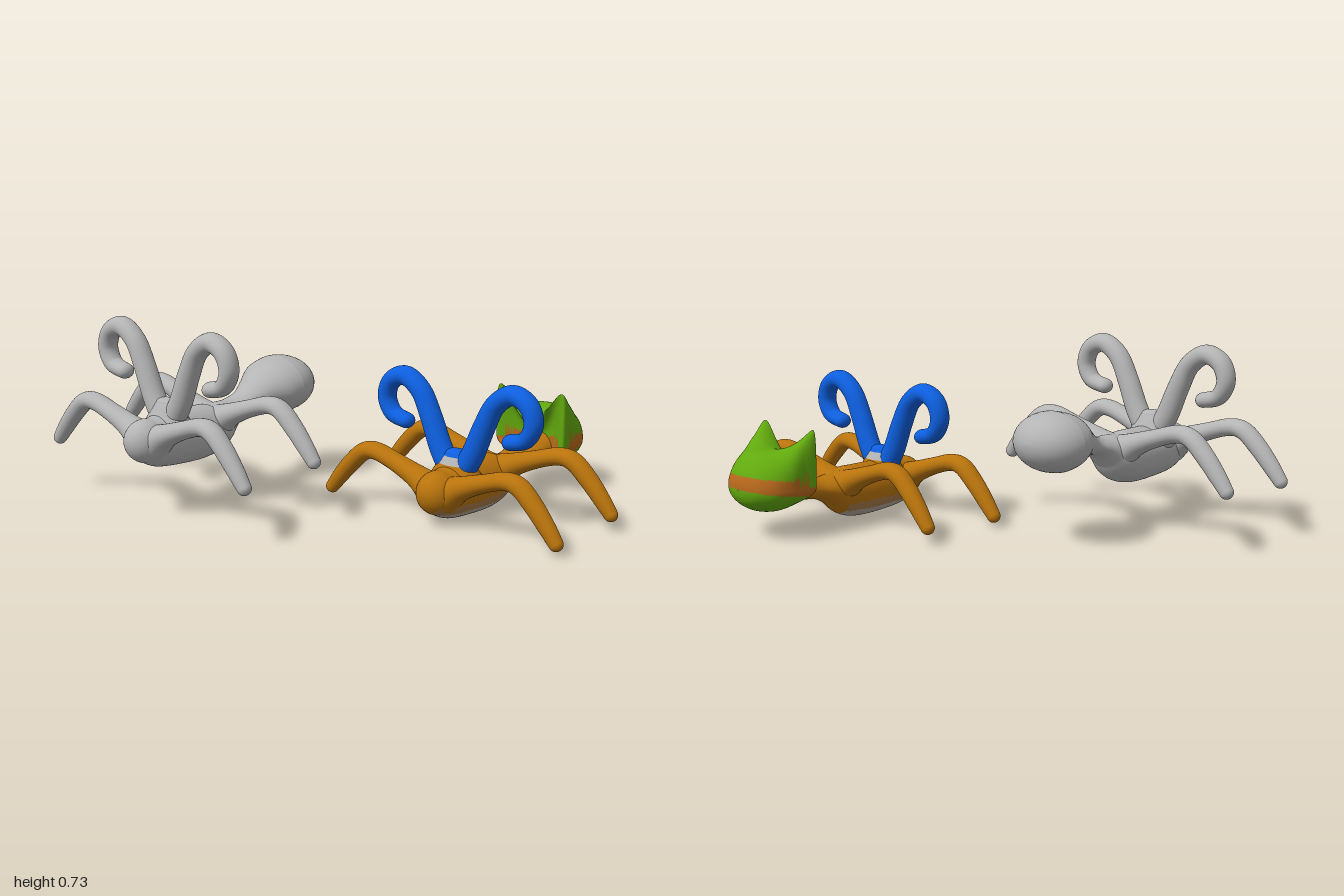
import * as THREE from 'three';

const mat = (name, color) => Object.assign(new THREE.MeshStandardMaterial({ color }), { name });
const V = (x, y, z) => new THREE.Vector3(x, y, z);

// Smooth interpolation through rows of numbers (Catmull-Rom)
function spline(rows, steps) {
  const out = [], last = rows.length - 1;
  for (let k = 0; k <= steps; k++) {
    const f = (k / steps) * last, i = Math.min(Math.floor(f), last - 1), t = f - i;
    const [a, b, c, d] = [i - 1, i, i + 1, i + 2].map(j => rows[Math.max(0, Math.min(last, j))]);
    out.push(b.map((_, n) => 0.5 * (2 * b[n] + (c[n] - a[n]) * t
      + (2 * a[n] - 5 * b[n] + 4 * c[n] - d[n]) * t * t
      + (3 * b[n] - a[n] - 3 * c[n] + d[n]) * t * t * t)));
  }
  return out;
}

// Skin a list of closed rings
function skin(rings) {
  const n = rings[0].length, index = [];
  for (let i = 0; i < rings.length - 1; i++) {
    for (let j = 0; j < n; j++) {
      const a = i * n + j, b = i * n + (j + 1) % n;
      index.push(a, a + n, b, b, a + n, b + n);
    }
  }
  const g = new THREE.BufferGeometry().setFromPoints(rings.flat());
  g.setIndex(index);
  g.computeVertexNormals();
  return g;
}

// Sweep an ellipse along rows of [x, y, z, radius along side, other radius], with rounded ends
function sweep(rows, side, { steps = 48, sides = 32, capStart, capEnd } = {}) {
  const s = spline(rows, steps), rings = [];
  const at = i => V(...s[i].slice(0, 3));
  const ring = (i, push, scale) => {
    const t = at(Math.min(i + 1, steps)).sub(at(Math.max(i - 1, 0))).normalize();
    const n = side.clone().cross(t).normalize(), u = t.clone().cross(n);
    const c = at(i).addScaledVector(t, push), pts = [];
    for (let j = 0; j < sides; j++) {
      const a = (j / sides) * Math.PI * 2;
      pts.push(c.clone().addScaledVector(u, s[i][3] * scale * Math.cos(a))
        .addScaledVector(n, s[i][4] * scale * Math.sin(a)));
    }
    rings.push(pts);
  };
  const CAP = 10, q = Math.PI / 2 / CAP;
  const len0 = capStart ?? s[0][4], len1 = capEnd ?? s[steps][4];
  for (let k = CAP; k > 0; k--) ring(0, -len0 * Math.sin(k * q), Math.cos(k * q));
  for (let i = 0; i <= steps; i++) ring(i, 0, 1);
  for (let k = 1; k <= CAP; k++) ring(steps, len1 * Math.sin(k * q), Math.cos(k * q));
  return skin(rings);
}

// Sort faces into colour groups by the centre of each face
function paint(g, materials, pick) {
  const p = g.attributes.position, idx = g.index.array, lists = materials.map(() => []);
  for (let i = 0; i < idx.length; i += 3) {
    const c = V(0, 0, 0);
    for (let k = 0; k < 3; k++) c.add(V(0, 0, 0).fromBufferAttribute(p, idx[i + k]));
    lists[pick(c.divideScalar(3))].push(idx[i], idx[i + 1], idx[i + 2]);
  }
  g.setIndex(lists.flat());
  let start = 0;
  lists.forEach((l, m) => { g.addGroup(start, l.length, m); start += l.length; });
  return new THREE.Mesh(g, materials);
}

const X = V(1, 0, 0), Z = V(0, 0, 1);

// Body rows shared by both creatures, head first
const TORSO = [
  [0, 0.122, 0.045, 0.08, 0.085], [0, 0.112, -0.01, 0.09, 0.1], [0, 0.106, -0.12, 0.094, 0.105],
  [0, 0.106, -0.22, 0.097, 0.105], [0, 0.117, -0.29, 0.095, 0.095],
];
const BULB_TAIL = [
  [0, 0.145, -0.35, 0.08, 0.065], [0, 0.17, -0.41, 0.07, 0.038], [0, 0.188, -0.47, 0.067, 0.042],
  [0, 0.207, -0.54, 0.1, 0.072], [0, 0.221, -0.605, 0.14, 0.104], [0, 0.225, -0.66, 0.152, 0.115],
];
const THIN_TAIL = [
  [0, 0.13, -0.35, 0.083, 0.062], [0, 0.143, -0.42, 0.075, 0.04],
  [0, 0.16, -0.5, 0.078, 0.045], [0, 0.18, -0.6, 0.09, 0.06],
];

// Leg and horn paths in the x-y plane: [x, y, radius in z, radius in plane]
const LEG = [
  [0.03, 0.13, 0.075, 0.07], [0.1, 0.168, 0.052, 0.046], [0.2, 0.207, 0.042, 0.035],
  [0.3, 0.237, 0.04, 0.034], [0.365, 0.228, 0.04, 0.035], [0.43, 0.172, 0.037, 0.035],
  [0.49, 0.105, 0.032, 0.032], [0.53, 0.055, 0.027, 0.027],
];
const HORN = [
  [0.02, 0.17, 0.045, 0.045], [0.075, 0.26, 0.044, 0.045], [0.125, 0.375, 0.043, 0.042],
  [0.175, 0.467, 0.042, 0.039], [0.25, 0.515, 0.042, 0.038], [0.32, 0.487, 0.042, 0.036],
  [0.344, 0.42, 0.041, 0.034], [0.312, 0.358, 0.04, 0.032], [0.245, 0.338, 0.037, 0.03],
];
const COLLAR = [
  [0, 0.17, -0.065, 0.105, 0.085], [0, 0.205, -0.065, 0.085, 0.062],
  [0, 0.235, -0.065, 0.075, 0.046], [0, 0.255, -0.065, 0.05, 0.036],
];

// Eared shell on the tail; rows run front to back: [z, half width, bottom, crown height, ear height]
function shellGeometry() {
  const rows = spline([
    [-0.6, 0.002, 0.198, 0.002, 0], [-0.575, 0.09, 0.15, 0.05, 0.1], [-0.54, 0.158, 0.135, 0.09, 0.32],
    [-0.6, 0.162, 0.112, 0.13, 0.19], [-0.66, 0.16, 0.1, 0.14, 0.07], [-0.72, 0.14, 0.11, 0.125, 0.01],
    [-0.765, 0.098, 0.138, 0.08, 0], [-0.785, 0.05, 0.168, 0.04, 0], [-0.79, 0.001, 0.198, 0.002, 0],
  ], 72);
  const mid = 0.2, sides = 72;
  return skin(rows.map(([z, w, bottom, crown, ear]) => Array.from({ length: sides }, (_, j) => {
    const a = (j / sides) * Math.PI * 2, c = Math.cos(a), s = Math.sin(a), up = Math.max(s, 0);
    const y = s > 0 ? mid + crown * up + ear * Math.sqrt(up) * c * c : mid + (mid - bottom) * s;
    return V(w * c * (1 + 0.4 * ear * up), y, z);
  })));
}

function creature(name, { skinMat, hornMat, collarMat, bellyMats, tail }) {
  const group = new THREE.Group();
  group.name = name;
  const add = (part, mesh) => { mesh.name = part; group.add(mesh); };

  // Body with the belly patch underneath
  const body = sweep([...TORSO, ...tail], X, { steps: 110, sides: 56, capStart: 0.09, capEnd: 0.15 });
  add('body', paint(body, [skinMat, ...bellyMats], c => {
    if (c.z > 0.1 || c.z < -0.31) return 0;
    return c.y < 0.042 ? 2 : c.y < 0.075 ? 1 : 0;
  }));

  // Collar where the horns rise
  add('hornCollar', paint(sweep(COLLAR, X, { capEnd: 0.015 }), [skinMat, collarMat, hornMat],
    c => (c.y < 0.215 ? 0 : c.y < 0.245 ? 1 : 2)));

  for (const m of [1, -1]) {
    const label = m > 0 ? 'left' : 'right';
    add(label + 'Horn', new THREE.Mesh(
      sweep(HORN.map(([x, y, a, b]) => [m * x, y, -0.065, a, b]), Z, { steps: 72 }), hornMat));
    // Front legs sit slightly lower; both pairs splay towards their tips
    for (const [part, z, splay, drop] of [['FrontLeg', 0.03, 0.035, 0.012], ['RearLeg', -0.295, -0.03, -0.008]]) {
      const rows = LEG.map(([x, y, a, b]) => [m * x, y - drop, z + splay * x, a, b]);
      add(label + part, new THREE.Mesh(sweep(rows, Z), skinMat));
    }
  }
  return group;
}

export function createModel() {
  const grey = mat('plain grey', 0xb4b4b4), amber = mat('amber', 0xb8730c);
  const blue = mat('blue', 0x0d5fe0), green = mat('green', 0x62a90e);
  const rust = mat('rust band', 0xb9691c), tan = mat('tan', 0xa87b48), belly = mat('belly grey', 0xb0a596);

  const model = new THREE.Group();
  model.name = 'creaturePair';

  const plain = creature('greyCreature', {
    skinMat: grey, hornMat: grey, collarMat: grey, bellyMats: [grey, grey], tail: BULB_TAIL,
  });
  plain.position.set(-0.445, 0.175, 0.655);

  const bright = creature('colouredCreature', {
    skinMat: amber, hornMat: blue, collarMat: grey, bellyMats: [tan, belly], tail: THIN_TAIL,
  });
  bright.position.set(0.44, 0, 0);

  // Shell with a sloping band around it
  const shell = paint(shellGeometry(), [green, rust], c => {
    const back = -0.5 - c.z;
    return c.y > 0.15 + 0.18 * back && c.y < 0.215 + 0.14 * back ? 1 : 0;
  });
  shell.name = 'tailShell';
  bright.add(shell);

  model.add(plain, bright);
  return model;
}
